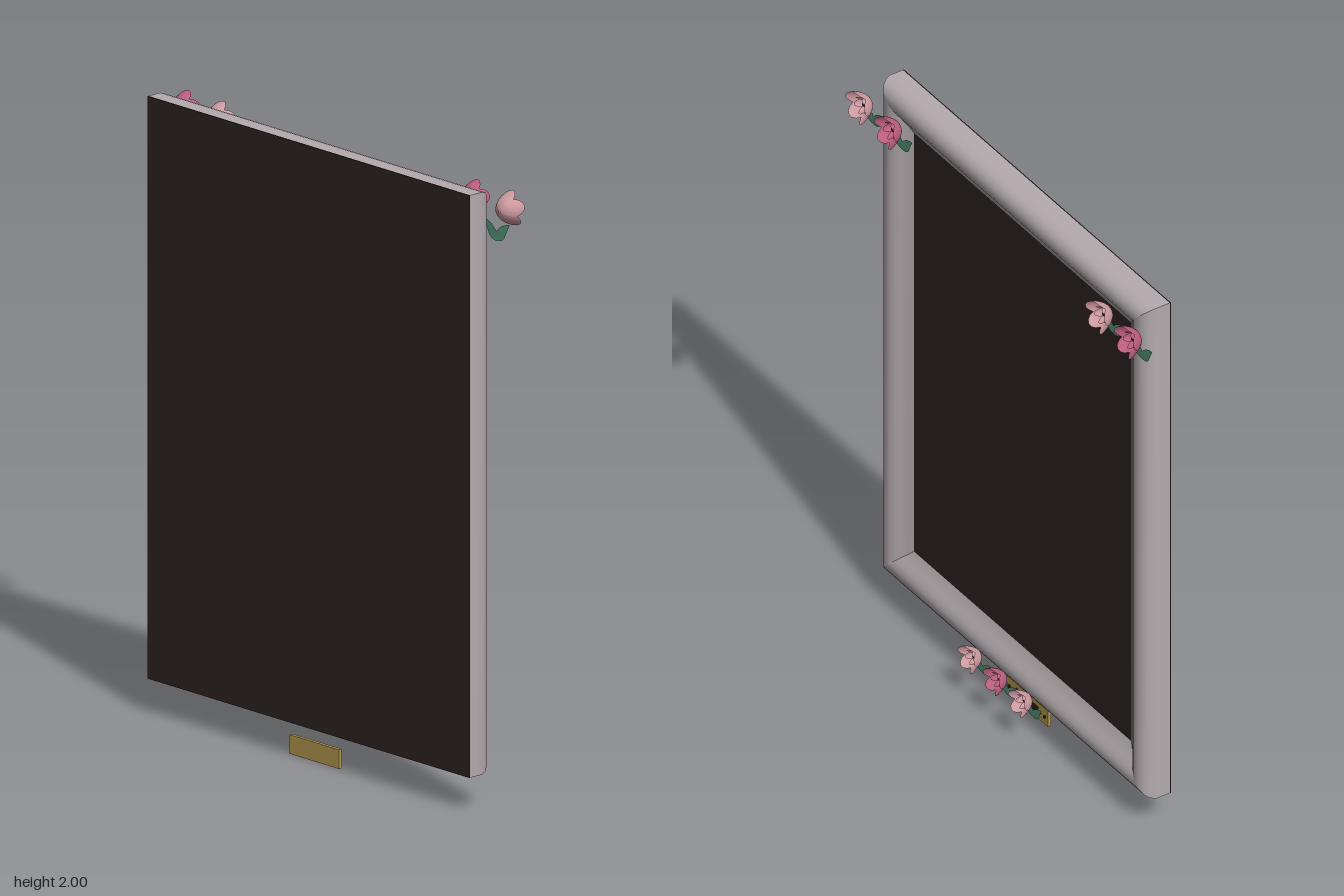
import * as THREE from 'three';

const mat = (name, color, side = THREE.FrontSide) => {
  const m = new THREE.MeshStandardMaterial({ color, side });
  m.name = name;
  return m;
};

const HW = 0.74, HH = 0.9425, CY = 1.0575; // frame half width, half height, centre height

// One mitred rail running along x at the top edge of a frame: [distance inward, z]
const PROFILE = [
  [0, 0.086], [0, 0.06], [0, 0.036], [0.006, 0.017], [0.016, 0.003], [0.03, -0.006], [0.046, -0.01],
  [0.064, -0.008], [0.082, 0.001], [0.1, 0.014], [0.118, 0.026], [0.142, 0.037],
];
function railGeometry(halfLength, reach) {
  const pos = [], idx = [];
  for (const [d, z] of PROFILE) {
    pos.push(-(halfLength - d), reach - d, z, halfLength - d, reach - d, z);
  }
  for (let i = 0; i < PROFILE.length - 1; i++) {
    const a = i * 2;
    idx.push(a, a + 1, a + 2, a + 1, a + 3, a + 2);
  }
  const g = new THREE.BufferGeometry();
  g.setAttribute('position', new THREE.Float32BufferAttribute(pos, 3));
  g.setIndex(idx.reverse());
  g.computeVertexNormals();
  return g;
}

// Cupped petal opening toward -z, with a pointed rim
function petalGeometry(radius, depth, halfAngle) {
  const g = new THREE.PlaneGeometry(1, 1, 6, 5);
  const p = g.attributes.position;
  for (let i = 0; i < p.count; i++) {
    const u = p.getX(i) * 2;
    const v = (p.getY(i) + 0.5) * (1 - 0.32 * u * u);
    const r = radius * (0.12 + 0.88 * Math.pow(v, 0.65));
    const a = u * halfAngle;
    p.setXYZ(i, r * Math.sin(a), r * Math.cos(a), -0.034 - depth * Math.pow(v, 1.4));
  }
  g.computeVertexNormals();
  return g;
}

// Pair of leaves joined at the bottom
function leafGeometry() {
  const s = new THREE.Shape();
  s.moveTo(0, -0.093);
  s.quadraticCurveTo(0.032, -0.092, 0.04, -0.068);
  s.lineTo(0.058, -0.03);
  s.quadraticCurveTo(0.02, -0.036, 0, -0.062);
  s.quadraticCurveTo(-0.02, -0.036, -0.058, -0.03);
  s.lineTo(-0.04, -0.068);
  s.quadraticCurveTo(-0.032, -0.092, 0, -0.093);
  const g = new THREE.ShapeGeometry(s, 6);
  const p = g.attributes.position;
  for (let i = 0; i < p.count; i++) p.setZ(i, -0.021 - 0.06 * Math.abs(p.getX(i)) * 0.8);
  g.computeVertexNormals();
  return g;
}

export function createModel() {
  const model = new THREE.Group();
  const silver = mat('frame silver', 0xb4abaf, THREE.DoubleSide);
  const dark = mat('dark brown', 0x2e2423);
  const gold = mat('plaque gold', 0xb5994e);
  const rose = mat('deep rose', 0xbe5f80, THREE.DoubleSide);
  const blush = mat('pale blush', 0xcf9ba2, THREE.DoubleSide);
  const green = mat('leaf green', 0x589a7c, THREE.DoubleSide);

  const add = (name, geo, material, x = 0, y = 0, z = 0, parent = model) => {
    const m = new THREE.Mesh(geo, material);
    m.name = name;
    m.position.set(x, y, z);
    parent.add(m);
    return m;
  };

  // Moulded frame
  const frame = new THREE.Group();
  frame.name = 'frame';
  frame.position.y = CY;
  model.add(frame);
  ['topRail', 'leftRail', 'bottomRail', 'rightRail'].forEach((name, i) => {
    const geo = i % 2 ? railGeometry(HH, HW) : railGeometry(HW, HH);
    add(name, geo, silver, 0, 0, 0, frame).rotation.z = -i * Math.PI / 2;
  });

  // Backing board and inner panel
  add('backingBoard', new THREE.BoxGeometry(HW * 2, HH * 2, 0.004), dark, 0, CY, 0.088);
  add('innerPanel', new THREE.BoxGeometry(1.24, 1.645, 0.01), dark, 0, CY, 0.04);

  // Flowers with leaves
  const outerPetal = petalGeometry(0.057, 0.057, 0.66);
  const innerPetal = petalGeometry(0.03, 0.042, 0.6);
  const leaves = leafGeometry();
  const heart = new THREE.SphereGeometry(0.011, 10, 8);
  const flower = (x, y, scale, petalMat) => {
    const f = new THREE.Group();
    f.name = 'flower';
    f.position.set(x, y, 0);
    f.scale.set(scale, scale, 0.5 + scale / 2);
    for (let i = 0; i < 5; i++) {
      const a = i * Math.PI * 2 / 5;
      add('outerPetal', outerPetal, petalMat, 0, 0, 0, f).rotation.z = a;
      add('innerPetal', innerPetal, petalMat, 0, 0, 0, f).rotation.z = a + Math.PI / 5;
    }
    add('flowerCentre', heart, dark, 0, 0, -0.052, f);
    add('leaves', leaves, green, 0, 0, 0, f);
    model.add(f);
  };
  flower(-0.747, 1.925, 1, rose);
  flower(-0.587, 1.925, 1, blush);
  flower(0.583, 1.925, 1, rose);
  flower(0.743, 1.925, 1, blush);
  [-0.14, 0, 0.14].forEach((x) => flower(x, 0.165, 0.84, x ? blush : rose));

  // Hanging plaque with raised bars and pins
  add('plaque', new THREE.BoxGeometry(0.226, 0.062, 0.012), gold, 0, 0.034, 0.059);
  [[0.12, 0.046], [0.15, 0.034], [0.1, 0.022]].forEach(([w, y]) =>
    add('plaqueBar', new THREE.BoxGeometry(w, 0.006, 0.004), dark, 0, y, 0.0515));
  const pin = new THREE.CylinderGeometry(0.005, 0.005, 0.006, 12).rotateX(Math.PI / 2);
  for (const s of [-1, 1]) add('plaquePin', pin, dark, s * 0.098, 0.034, 0.051);
  return model;
}
